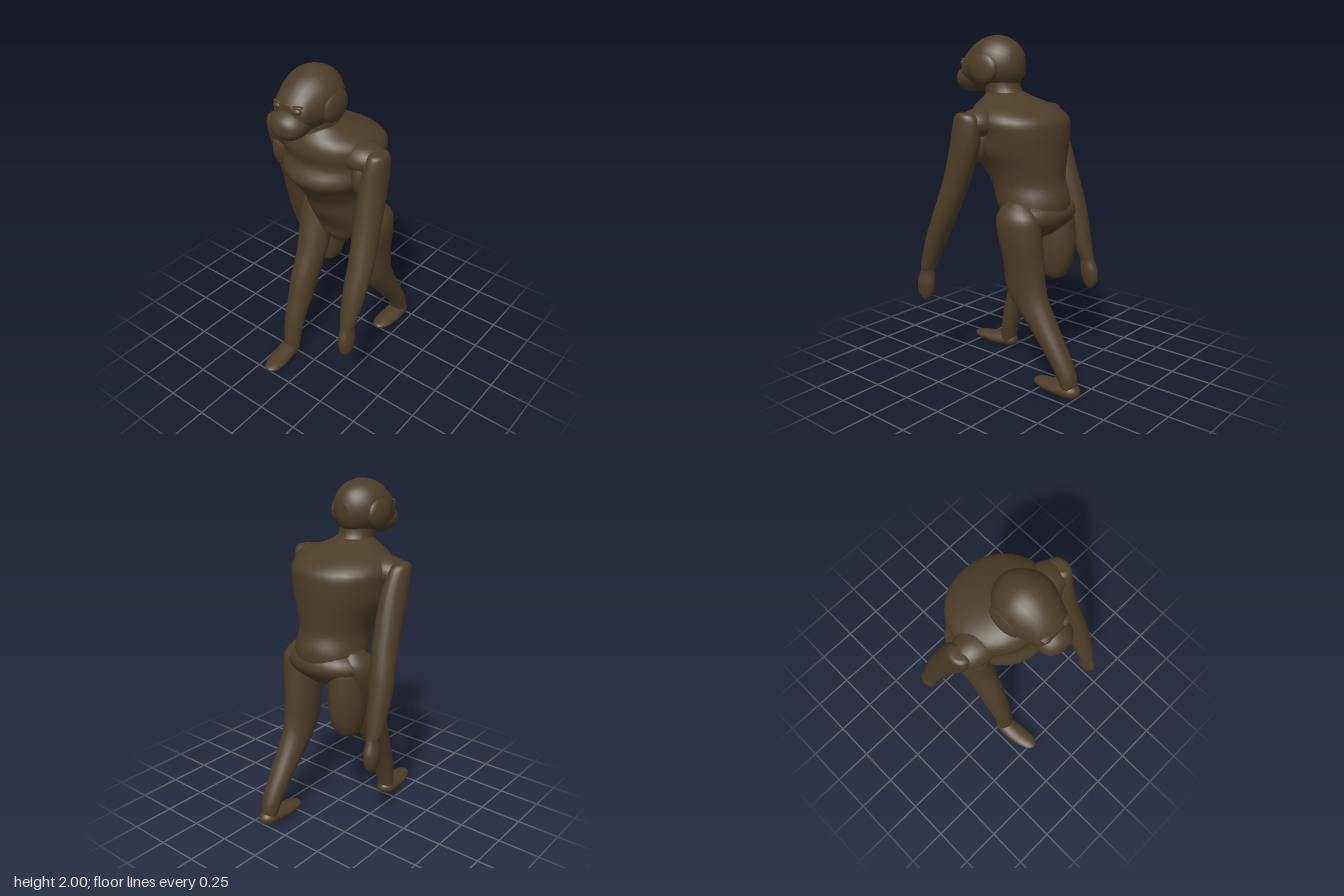
import * as THREE from 'three';

const fur = new THREE.MeshStandardMaterial({ color: 0x4b3c28 });
fur.name = 'dark brown fur';

// Catmull-Rom blend of section number i towards the next one
function blend(s, i, t) {
  const at = (k) => s[Math.max(0, Math.min(s.length - 1, k))];
  return s[i].map((_, k) => {
    const [a, b, c, d] = [at(i - 1)[k], at(i)[k], at(i + 1)[k], at(i + 2)[k]];
    return b + 0.5 * t * (c - a + t * (2 * a - 5 * b + 4 * c - d + t * (3 * (b - c) + d - a)));
  });
}

// Smooth body through oval sections.
// Upright: [y, centre x, centre z, radius x, radius z], listed upwards.
// Forward: [z, centre x, centre y, radius x, radius y], listed forwards.
function loft(sections, forward = false, sides = 24, steps = 4) {
  const rings = [];
  for (let i = 0; i < sections.length - 1; i++)
    for (let j = 0; j < steps; j++) rings.push(blend(sections, i, j / steps));
  rings.push(sections[sections.length - 1]);
  const cap = (r) => [r[0], r[1], r[2], 0.0005, 0.0005];
  rings.unshift(cap(rings[0]));
  rings.push(cap(rings[rings.length - 1]));
  const pos = [], index = [];
  rings.forEach(([h, cx, cv, rx, rv], i) => {
    for (let k = 0; k < sides; k++) {
      const a = (k / sides) * Math.PI * 2;
      const x = cx + rx * Math.sin(a), v = cv + rv * Math.cos(a);
      pos.push(x, forward ? v : h, forward ? h : v);
      if (i === 0) continue;
      const n = (k + 1) % sides;
      const p = (i - 1) * sides + k, q = (i - 1) * sides + n, r = i * sides + k, s = i * sides + n;
      if (forward) index.push(p, r, q, q, r, s);
      else index.push(p, q, r, q, s, r);
    }
  });
  const g = new THREE.BufferGeometry();
  g.setAttribute('position', new THREE.Float32BufferAttribute(pos, 3));
  g.setIndex(index);
  g.computeVertexNormals();
  return g;
}

export function createModel() {
  const model = new THREE.Group();
  model.name = 'apeFigure';
  const add = (name, geometry) => {
    const m = new THREE.Mesh(geometry, fur);
    m.name = name;
    model.add(m);
    return m;
  };
  const blob = (name, p, r) => {
    const m = add(name, new THREE.SphereGeometry(1, 24, 16));
    m.position.set(...p);
    m.scale.set(...r);
    return m;
  };

  // Torso, given as [y, half width, back z, front z]
  add('torso', loft([
    [0.83, 0.06, -0.08, 0.03], [0.89, 0.15, -0.2, 0.07], [0.96, 0.21, -0.26, 0.09],
    [1.08, 0.21, -0.28, 0.16], [1.18, 0.205, -0.25, 0.2], [1.28, 0.235, -0.25, 0.27],
    [1.37, 0.28, -0.25, 0.335], [1.46, 0.29, -0.25, 0.295], [1.54, 0.3, -0.235, 0.31],
    [1.6, 0.255, -0.15, 0.3], [1.65, 0.15, -0.03, 0.27], [1.68, 0.1, 0.03, 0.26],
  ].map(([y, w, b, f]) => [y, 0, (b + f) / 2, w, (f - b) / 2]), false, 28));
  add('neck', loft([[1.56, 0, 0.12, 0.15, 0.18], [1.64, 0, 0.14, 0.11, 0.135], [1.71, 0, 0.165, 0.1, 0.105], [1.8, 0, 0.18, 0.11, 0.12]]));
  blob('pelvis', [0, 1.0, -0.12], [0.255, 0.11, 0.165]);

  // Head: skull, muzzle and face details
  add('skull', loft([
    [0.032, 0, 1.83, 0.03, 0.04], [0.06, 0, 1.835, 0.085, 0.1], [0.12, 0, 1.84, 0.135, 0.14],
    [0.2, 0, 1.845, 0.157, 0.155], [0.28, 0, 1.835, 0.147, 0.15], [0.35, 0, 1.82, 0.122, 0.125],
    [0.4, 0, 1.81, 0.1, 0.085], [0.425, 0, 1.81, 0.06, 0.05],
  ], true));
  add('muzzle', loft([
    [0.26, 0, 1.77, 0.09, 0.08], [0.35, 0, 1.757, 0.1, 0.086], [0.42, 0, 1.75, 0.1, 0.08],
    [0.46, 0, 1.748, 0.08, 0.062], [0.48, 0, 1.75, 0.05, 0.04], [0.489, 0, 1.75, 0.02, 0.018],
  ], true));
  for (const s of [-1, 1]) {
    blob('ear', [s * 0.13, 1.815, 0.2], [0.04, 0.09, 0.1]);
    blob('eye', [s * 0.06, 1.84, 0.41], [0.03, 0.018, 0.02]);
    blob('brow', [s * 0.06, 1.86, 0.402], [0.034, 0.008, 0.02]);
    blob('shoulder', [s * 0.25, 1.525, 0.11], [0.14, 0.085, 0.11]);
    // Web of muscle joining chest and upper arm
    blob('armpit', [s * 0.275, 1.43, 0.13], [0.06, 0.13, 0.09]);
  }

  // Arms swing in opposite directions: z centres from hand up to shoulder
  const armShape = [
    [0.45, 0.4, 0.015, 0.02], [0.49, 0.4, 0.033, 0.05], [0.56, 0.398, 0.042, 0.06],
    [0.63, 0.394, 0.036, 0.048], [0.68, 0.392, 0.05, 0.05], [0.84, 0.386, 0.066, 0.065],
    [1.0, 0.378, 0.072, 0.075], [1.2, 0.358, 0.073, 0.083], [1.4, 0.349, 0.07, 0.095],
    [1.53, 0.354, 0.059, 0.085], [1.575, 0.357, 0.05, 0.065], [1.588, 0.357, 0.03, 0.04],
  ];
  const leftSwing = [0.44, 0.44, 0.437, 0.425, 0.41, 0.35, 0.28, 0.205, 0.145, 0.125, 0.125, 0.125];
  const rightSwing = [-0.2, -0.2, -0.195, -0.18, -0.165, -0.12, -0.08, -0.02, 0.05, 0.09, 0.1, 0.1];
  const arm = (side, swing) => loft(armShape.map(([y, x, rx, rz], i) => [y, side * x, swing[i], rx, rz]));
  add('leftArm', arm(1, leftSwing));
  add('rightArm', arm(-1, rightSwing));

  // Legs in mid stride: left trails, right leads
  add('leftLeg', loft([
    [0.05, 0.165, -0.46, 0.05, 0.04], [0.13, 0.165, -0.44, 0.058, 0.06], [0.25, 0.165, -0.37, 0.066, 0.075],
    [0.42, 0.165, -0.25, 0.078, 0.1], [0.57, 0.168, -0.155, 0.085, 0.13], [0.75, 0.17, -0.13, 0.097, 0.13],
    [0.92, 0.18, -0.105, 0.11, 0.14], [1.02, 0.18, -0.1, 0.1, 0.13], [1.09, 0.17, -0.09, 0.05, 0.06],
  ]));
  add('rightLeg', loft([
    [0.04, -0.167, 0.27, 0.05, 0.04], [0.12, -0.167, 0.265, 0.057, 0.05], [0.28, -0.168, 0.225, 0.066, 0.068],
    [0.42, -0.168, 0.165, 0.075, 0.088], [0.56, -0.168, 0.11, 0.082, 0.105], [0.72, -0.168, 0.04, 0.09, 0.105],
    [0.92, -0.18, -0.04, 0.11, 0.12], [1.02, -0.18, -0.07, 0.1, 0.12], [1.09, -0.17, -0.08, 0.05, 0.06],
  ]));
  // Rounded bulge behind the leading thigh
  add('rearThigh', loft([
    [0.565, -0.155, -0.1, 0.035, 0.04], [0.6, -0.155, -0.105, 0.072, 0.085], [0.7, -0.155, -0.11, 0.097, 0.118],
    [0.82, -0.155, -0.115, 0.1, 0.125], [0.98, -0.15, -0.12, 0.09, 0.11],
  ]));

  // Feet from heel to toe
  const foot = (x, heel, turn) => loft([
    [0, x, 0.045, 0.012, 0.012], [0.012, x, 0.047, 0.032, 0.028], [0.04, x, 0.048, 0.052, 0.042],
    [0.09, x, 0.046, 0.06, 0.042], [0.17, x + turn * 0.4, 0.042, 0.063, 0.036],
    [0.25, x + turn * 0.8, 0.042, 0.055, 0.028], [0.3, x + turn, 0.043, 0.035, 0.017],
    [0.315, x + turn, 0.043, 0.012, 0.008],
  ].map(([z, ...rest]) => [heel + z, ...rest]), true, 20);
  add('leftFoot', foot(0.165, -0.525, -0.01));
  add('rightFoot', foot(-0.172, 0.215, 0.025));

  return model;
}
